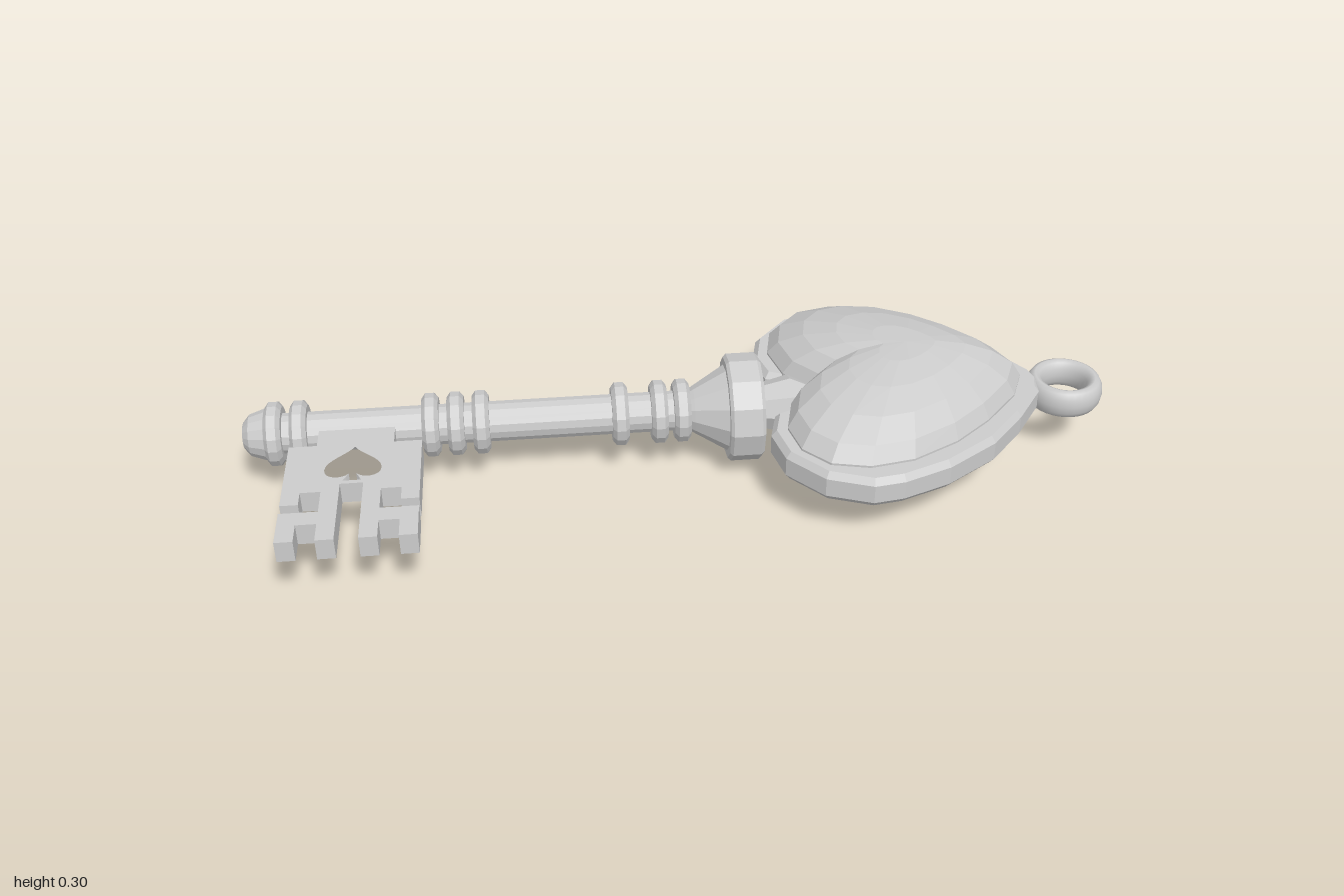
import * as THREE from 'three';

const AXIS_Y = 0.15, AXIS_Z = -0.036;
const flat = new THREE.MeshStandardMaterial({ color: 0xcccccc, flatShading: true });
const smooth = new THREE.MeshStandardMaterial({ color: 0xcccccc });

const v2 = (p) => new THREE.Vector2(p[0], p[1]);

// Closes a half outline by mirroring it across its long axis
function mirrored(half) {
  const other = half.filter((p) => p[1] !== 0).map(([x, z]) => [x, -z]).reverse();
  return [...half, ...other];
}

// Turned part along the x axis from [x, radius] pairs
function turned(name, profile, sides = 16) {
  const geo = new THREE.LatheGeometry(profile.map(([x, r]) => new THREE.Vector2(r, x)), sides);
  geo.rotateZ(-Math.PI / 2);
  const mesh = new THREE.Mesh(geo, flat);
  mesh.name = name;
  mesh.position.set(0, AXIS_Y, AXIS_Z);
  return mesh;
}

// Faceted heart dome: shrinking outlines stacked upward
function domeGeometry(outline, cx) {
  const levels = [[1, 0.0], [1, 0.04], [0.92, 0.075], [0.74, 0.11], [0.5, 0.135], [0.24, 0.148], [0, 0.15]];
  const rings = levels.map(([s, h]) => outline.map(([x, z]) => [cx + (x - cx) * s, h, z * s]));
  const pos = [];
  for (let k = 0; k < rings.length - 1; k++) {
    const a = rings[k], b = rings[k + 1];
    for (let i = 0; i < outline.length; i++) {
      const j = (i + 1) % outline.length;
      if ((i + k) % 2) pos.push(...a[i], ...b[i], ...b[j], ...a[i], ...b[j], ...a[j]);
      else pos.push(...a[i], ...b[i], ...a[j], ...b[i], ...b[j], ...a[j]);
    }
  }
  const geo = new THREE.BufferGeometry();
  geo.setAttribute('position', new THREE.Float32BufferAttribute(pos, 3));
  geo.computeVertexNormals();
  return geo;
}

export function createModel() {
  const group = new THREE.Group();
  group.name = 'key';

  // Shaft with domed end
  group.add(turned('shaft', [[-1, 0], [-1, 0.03], [-0.985, 0.048], [-0.95, 0.06], [-0.94, 0.047], [0.04, 0.047]]));

  // Ring mouldings
  for (const x of [-0.93, -0.873, -0.578, -0.521, -0.464, -0.146, -0.056, -0.003]) {
    group.add(turned('shaftRing', [
      [x - 0.019, 0.04], [x - 0.019, 0.062], [x - 0.01, 0.074],
      [x + 0.01, 0.074], [x + 0.019, 0.062], [x + 0.019, 0.04]]));
  }

  // Flared collar and the stem that meets the heart
  group.add(turned('collar', [
    [0.01, 0.045], [0.025, 0.055], [0.1, 0.1], [0.1, 0.118], [0.107, 0.125],
    [0.172, 0.125], [0.18, 0.118], [0.18, 0]], 12));
  group.add(turned('heartStem', [[0.17, 0.05], [0.25, 0.07], [0.31, 0.04], [0.34, 0]], 8));

  // Heart rim
  const rim = mirrored([
    [0.285, 0], [0.255, -0.058], [0.205, -0.08], [0.185, -0.155], [0.205, -0.245], [0.28, -0.33],
    [0.38, -0.368], [0.45, -0.358], [0.56, -0.315], [0.68, -0.235], [0.765, -0.14], [0.835, -0.04], [0.845, 0]]);
  const rimGeo = new THREE.ExtrudeGeometry(new THREE.Shape(rim.map(([x, z]) => v2([x, -z]))), {
    depth: 0.044, bevelEnabled: true, bevelThickness: 0.015, bevelSize: 0.012, bevelOffset: -0.012, bevelSegments: 1 });
  rimGeo.rotateX(-Math.PI / 2);
  const rimMesh = new THREE.Mesh(rimGeo, flat);
  rimMesh.name = 'heartRim';
  rimMesh.position.set(0, 0.126, AXIS_Z);
  group.add(rimMesh);

  // Upper and lower heart domes
  const dome = domeGeometry(mirrored([
    [0.3, 0], [0.245, -0.065], [0.222, -0.16], [0.24, -0.245], [0.295, -0.305], [0.38, -0.325],
    [0.48, -0.308], [0.59, -0.25], [0.68, -0.175], [0.765, -0.08], [0.8, 0]]), 0.52);
  [['upperHeart', 0], ['lowerHeart', Math.PI]].forEach(([name, angle]) => {
    const mesh = new THREE.Mesh(dome, flat);
    mesh.name = name;
    mesh.rotation.x = angle;
    mesh.position.set(0, AXIS_Y, -0.042);
    group.add(mesh);
  });

  // Hanging loop at the tip
  const loopGeo = new THREE.TorusGeometry(0.07, 0.02, 12, 32);
  loopGeo.rotateX(Math.PI / 2);
  loopGeo.scale(1, 1.8, 1);
  const loop = new THREE.Mesh(loopGeo, smooth);
  loop.name = 'loop';
  loop.position.set(0.91, 0.148, -0.039);
  group.add(loop);

  // Key bit: symmetric toothed plate, half outline as [offset, z]
  const half = [
    [0.085, -0.02], [0.085, 0.06], [0.147, 0.06], [0.147, 0.275], [0.108, 0.275], [0.108, 0.233],
    [0.064, 0.233], [0.064, 0.302], [0.147, 0.302], [0.147, 0.4], [0.108, 0.4], [0.108, 0.345],
    [0.064, 0.345], [0.064, 0.4], [0.025, 0.4], [0.025, 0.208]];
  const full = [...half, ...half.map(([x, z]) => [-x, z]).reverse()];
  const bit = new THREE.Shape(full.map(([x, z]) => v2([x, -z])));

  // Spade cut-out
  const spade = new THREE.Path();
  spade.moveTo(0, -0.072);
  spade.bezierCurveTo(0.015, -0.1, 0.062, -0.12, 0.062, -0.155);
  spade.bezierCurveTo(0.062, -0.19, 0.02, -0.19, 0.008, -0.172);
  spade.lineTo(0.02, -0.197);
  spade.lineTo(-0.02, -0.197);
  spade.lineTo(-0.008, -0.172);
  spade.bezierCurveTo(-0.02, -0.19, -0.062, -0.19, -0.062, -0.155);
  spade.bezierCurveTo(-0.062, -0.12, -0.015, -0.1, 0, -0.072);
  bit.holes.push(spade);

  const bitGeo = new THREE.ExtrudeGeometry(bit, { depth: 0.05, bevelEnabled: false, curveSegments: 8 });
  bitGeo.rotateX(-Math.PI / 2);
  const bitMesh = new THREE.Mesh(bitGeo, flat);
  bitMesh.name = 'keyBit';
  bitMesh.position.set(-0.742, 0.126, 0);
  group.add(bitMesh);

  return group;
}
